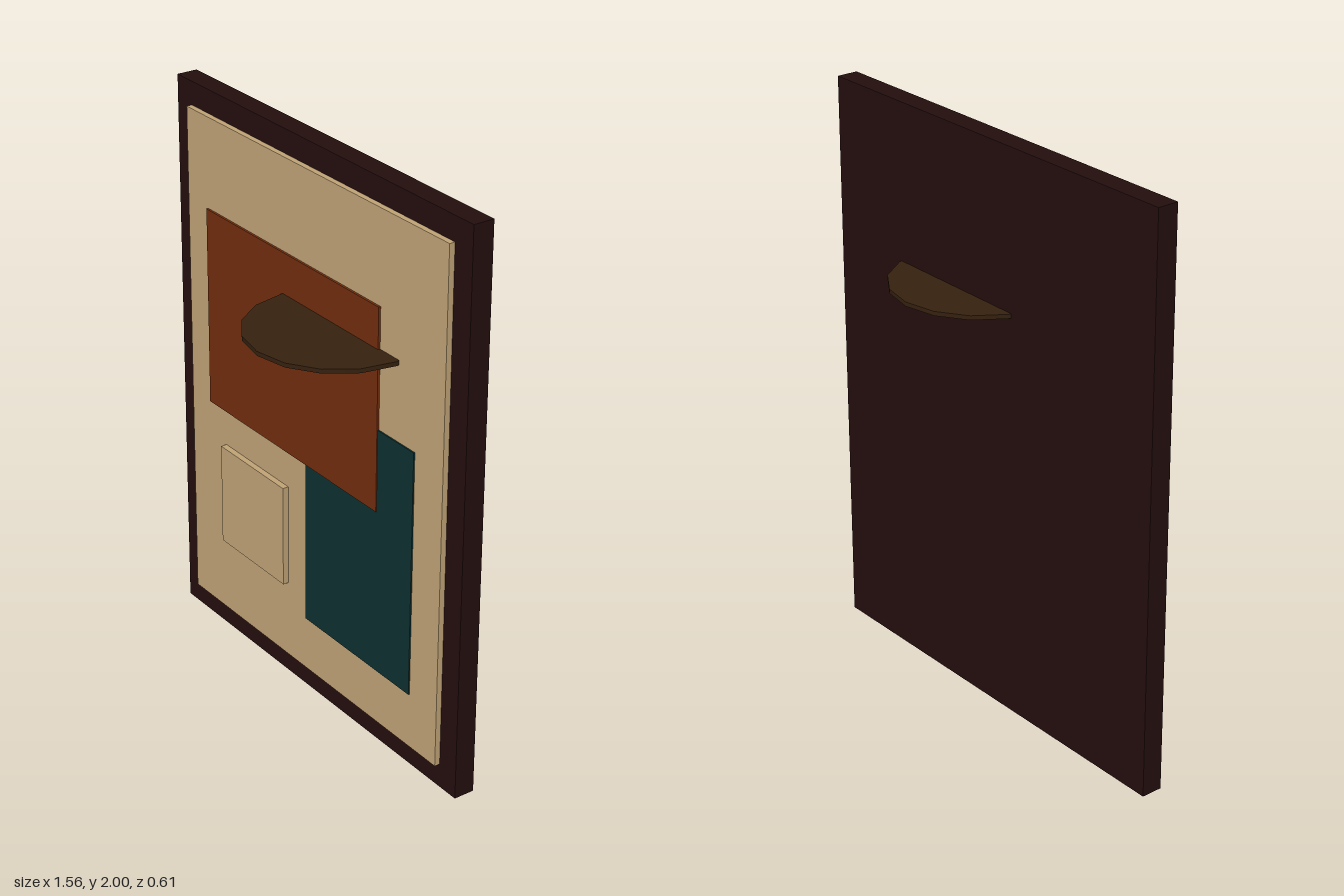
import * as THREE from 'three';

const flat = (name, color) => {
  const m = new THREE.MeshStandardMaterial({ color });
  m.name = name;
  return m;
};

export function createModel() {
  const group = new THREE.Group();
  group.name = 'framedAbstractPanel';

  const darkWood = flat('darkWood', 0x240e0e);
  const tan = flat('tan', 0xc0a375);
  const rust = flat('rust', 0x712d0e);
  const teal = flat('teal', 0x0e2f2f);
  const bronze = flat('bronze', 0x35210f);

  // Box given by its limits on each axis
  const slab = (name, material, [x0, x1], [y0, y1], [z0, z1]) => {
    const mesh = new THREE.Mesh(new THREE.BoxGeometry(x1 - x0, y1 - y0, z1 - z0), material);
    mesh.position.set((x0 + x1) / 2, (y0 + y1) / 2, (z0 + z1) / 2);
    mesh.name = name;
    group.add(mesh);
  };

  // Backing board and canvas
  slab('frame', darkWood, [-0.78, 0.78], [0, 2], [-0.107, -0.032]);
  slab('canvas', tan, [-0.697, 0.697], [0.087, 1.917], [-0.032, -0.012]);

  // Layered rectangles
  slab('tealPanel', teal, [-0.017, 0.557], [0.288, 1.172], [-0.014, -0.007]);
  slab('rustPanel', rust, [-0.578, 0.373], [0.881, 1.595], [-0.014, -0.004]);
  slab('tanSquare', tan, [-0.493, -0.122], [0.375, 0.747], [-0.012, 0.01]);

  // Horizontal disc passing through the panel
  const disc = new THREE.Mesh(new THREE.CylinderGeometry(0.305, 0.305, 0.015, 16), bronze);
  disc.position.set(0.167, 1.444, 0);
  disc.name = 'disc';
  group.add(disc);

  return group;
}
